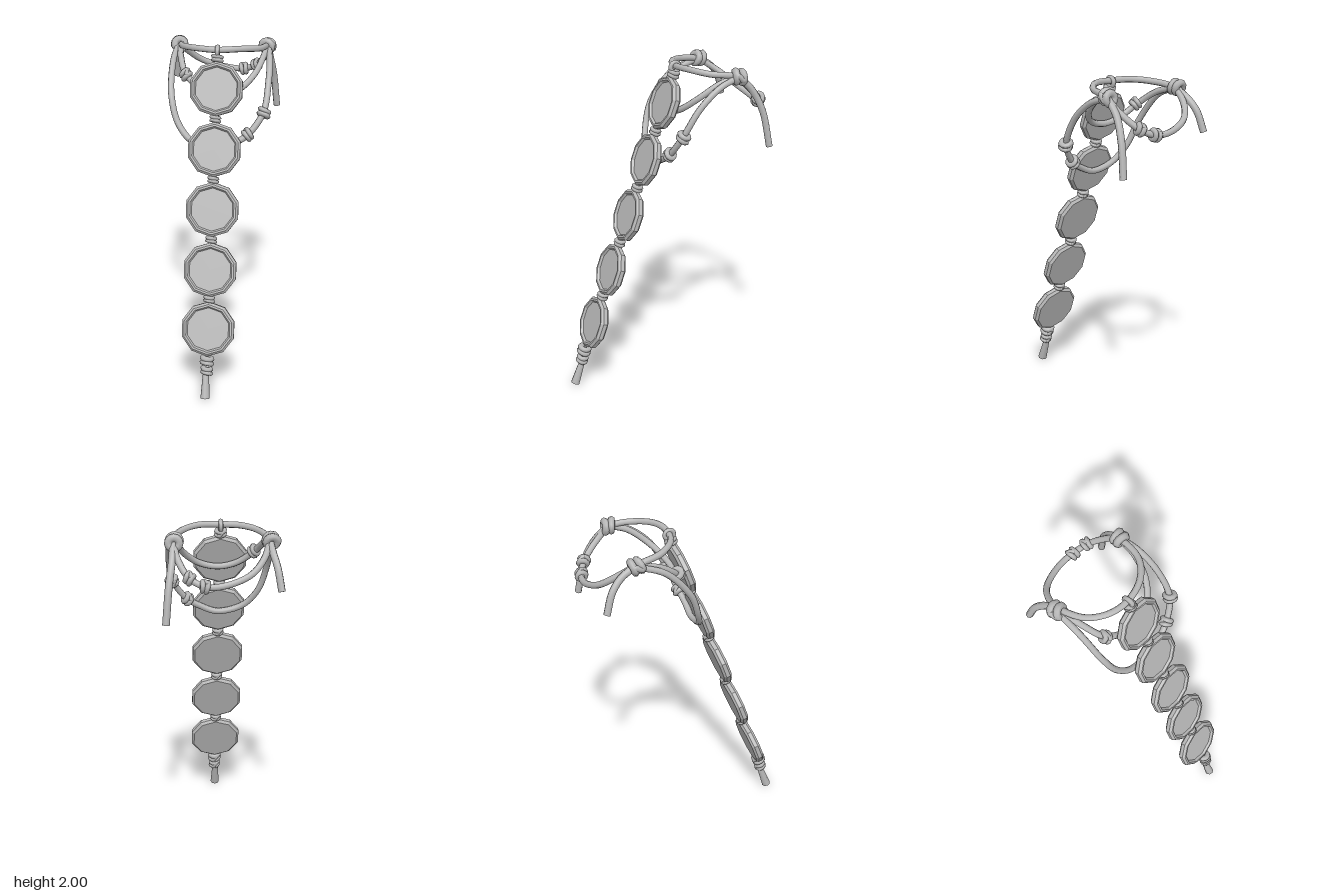
import * as THREE from 'three';

const grey = new THREE.MeshStandardMaterial({ color: 0xb8b8b8 });
const V = (p) => new THREE.Vector3(...p);
const CX = -0.013;
const TILT = -0.34; // lean of the hanging strip
const strip = (y) => [CX, y, 0.4 - 0.353 * (y - 0.57)];
const stripDir = [0, 0.943, -0.333];

export function createModel() {
  const model = new THREE.Group();

  const add = (parent, name, geometry) => {
    const mesh = new THREE.Mesh(geometry, grey);
    mesh.name = name;
    parent.add(mesh);
    return mesh;
  };

  // Round cord along a smooth curve, with caps on free ends
  function cord(name, points, radius = 0.019, closed = false) {
    const group = new THREE.Group();
    group.name = name;
    const curve = new THREE.CatmullRomCurve3(points.map(V), closed);
    add(group, name + 'Strand', new THREE.TubeGeometry(curve, points.length * 6, radius, 8, closed));
    if (!closed) {
      for (const t of [0, 1]) {
        const cap = add(group, name + 'Cap', new THREE.CircleGeometry(radius, 8));
        cap.position.copy(curve.getPoint(t));
        const dir = curve.getTangent(t).multiplyScalar(t ? 1 : -1);
        cap.quaternion.setFromUnitVectors(V([0, 0, 1]), dir);
      }
    }
    model.add(group);
  }

  // Knot: two tilted wraps around the cord, joined by a crossing turn
  function knot(name, at, dir, size = 1, stretch = 1) {
    const group = new THREE.Group();
    group.name = name;
    for (const s of [-1, 1]) {
      const wrap = add(group, 'wrap', new THREE.TorusGeometry(0.028, 0.021, 7, 12));
      wrap.position.z = s * 0.018;
      wrap.rotation.set(0.12 * s, 0.22, 0);
    }
    const cross = add(group, 'crossing', new THREE.CapsuleGeometry(0.017, 0.04, 3, 7));
    cross.position.y = 0.032;
    cross.rotation.set(Math.PI / 2, 0, 0.5);
    group.position.set(...at);
    group.quaternion.setFromUnitVectors(V([0, 0, 1]), V(dir).normalize());
    group.scale.set(size, size, size * stretch);
    model.add(group);
  }

  // Ten-sided medallions with a raised bevelled rim and sunken front
  const profile = [
    [0, -0.026], [0.148, -0.026], [0.163, -0.012], [0.163, 0.012],
    [0.149, 0.026], [0.137, 0.026], [0.128, 0.012], [0, 0.012],
  ].map((p) => new THREE.Vector2(...p));
  const discGeometry = new THREE.LatheGeometry(profile, 10).toNonIndexed();
  discGeometry.rotateX(Math.PI / 2);
  discGeometry.computeVertexNormals();
  for (const y of [0.405, 0.738, 1.077, 1.412, 1.75]) {
    const disc = add(model, 'medallion', discGeometry);
    disc.position.set(...strip(y));
    disc.rotation.x = TILT;
  }

  // Small knots and short cords linking the medallions
  for (const y of [0.573, 0.908, 1.243, 1.582]) {
    knot('linkKnot', strip(y), stripDir, 0.75, 0.75);
    cord('linkCord', [strip(y - 0.035), strip(y + 0.035)], 0.016);
  }

  // Lower end: two knots and a flared tail
  knot('lowerKnot', [CX, 0.23, 0.528], stripDir, 0.92, 0.85);
  knot('lowerKnot', [CX, 0.17, 0.543], stripDir, 0.8, 0.85);
  const tail = add(model, 'lowerTail', new THREE.CylinderGeometry(0.017, 0.028, 0.17, 8));
  tail.position.set(-0.018, 0.088, 0.563);
  tail.rotation.x = TILT;

  // Upper ring
  cord('upperRing', [
    [CX, 1.968, -0.088], [-0.13, 1.968, -0.12], [-0.225, 1.957, -0.21], [-0.262, 1.935, -0.35],
    [-0.235, 1.87, -0.46], [-0.15, 1.79, -0.55], [0, 1.74, -0.59], [0.105, 1.735, -0.578],
    [0.19, 1.775, -0.535], [0.255, 1.87, -0.43], [0.262, 1.935, -0.35], [0.225, 1.957, -0.2],
    [0.12, 1.972, -0.11],
  ], 0.019, true);
  knot('ringKnot', [0.105, 1.735, -0.577], [1, 0.2, 0.2], 0.85, 0.85);
  knot('ringKnot', [0.188, 1.772, -0.54], [1, 0.6, 0.7], 0.85, 0.85);

  // Hanger from the ring to the top medallion
  knot('hangerKnot', [CX, 1.92, -0.075], stripDir, 0.8, 0.75);
  const hanger = add(model, 'hangerLoop', new THREE.TorusGeometry(0.028, 0.014, 7, 12));
  hanger.position.set(CX, 1.96, -0.085);
  hanger.rotation.y = Math.PI / 2;

  // Middle loop behind the top medallion
  cord('middleLoop', [
    [-0.27, 1.935, -0.36], [-0.25, 1.89, -0.22], [-0.205, 1.81, -0.11], [-0.11, 1.735, -0.06],
    [0, 1.71, -0.05], [0.11, 1.735, -0.06], [0.2, 1.81, -0.13], [0.25, 1.9, -0.25],
    [0.262, 1.935, -0.36],
  ]);
  knot('middleKnot', [-0.205, 1.81, -0.1], [0.7, -0.8, 0.6], 0.85, 0.85);

  // Lower loop behind the second medallion
  cord('lowerLoop', [
    [-0.282, 1.935, -0.37], [-0.294, 1.87, -0.2], [-0.287, 1.7, -0.05], [-0.24, 1.54, 0.01],
    [-0.15, 1.44, 0.045], [0, 1.405, 0.05], [0.1, 1.44, 0.05], [0.18, 1.49, 0.035],
    [0.267, 1.615, -0.01], [0.29, 1.78, -0.11], [0.287, 1.89, -0.24], [0.27, 1.935, -0.37],
  ]);
  knot('lowerLoopKnot', [0.18, 1.49, 0.035], [0.9, 0.8, -0.2], 0.88, 0.8);
  knot('lowerLoopKnot', [0.272, 1.615, -0.01], [0.25, 1, -0.4], 0.92, 0.8);

  // Side knots and free ends
  for (const [s, endY] of [[-1, 1.69], [1, 1.51]]) {
    const drop = 1.93 - endY;
    knot('sideKnot', [s * 0.27 - 0.006, 1.935, -0.365], [s * 0.15, -0.15, -1], 1.1, 0.95);
    cord('freeEnd', [
      [s * 0.27, 1.93, -0.37], [s * 0.28, 1.93 - drop * 0.2, -0.45],
      [s * 0.3, 1.93 - drop * 0.5, -0.51], [s * 0.32, endY, -0.55],
    ], 0.021);
  }
  return model;
}
